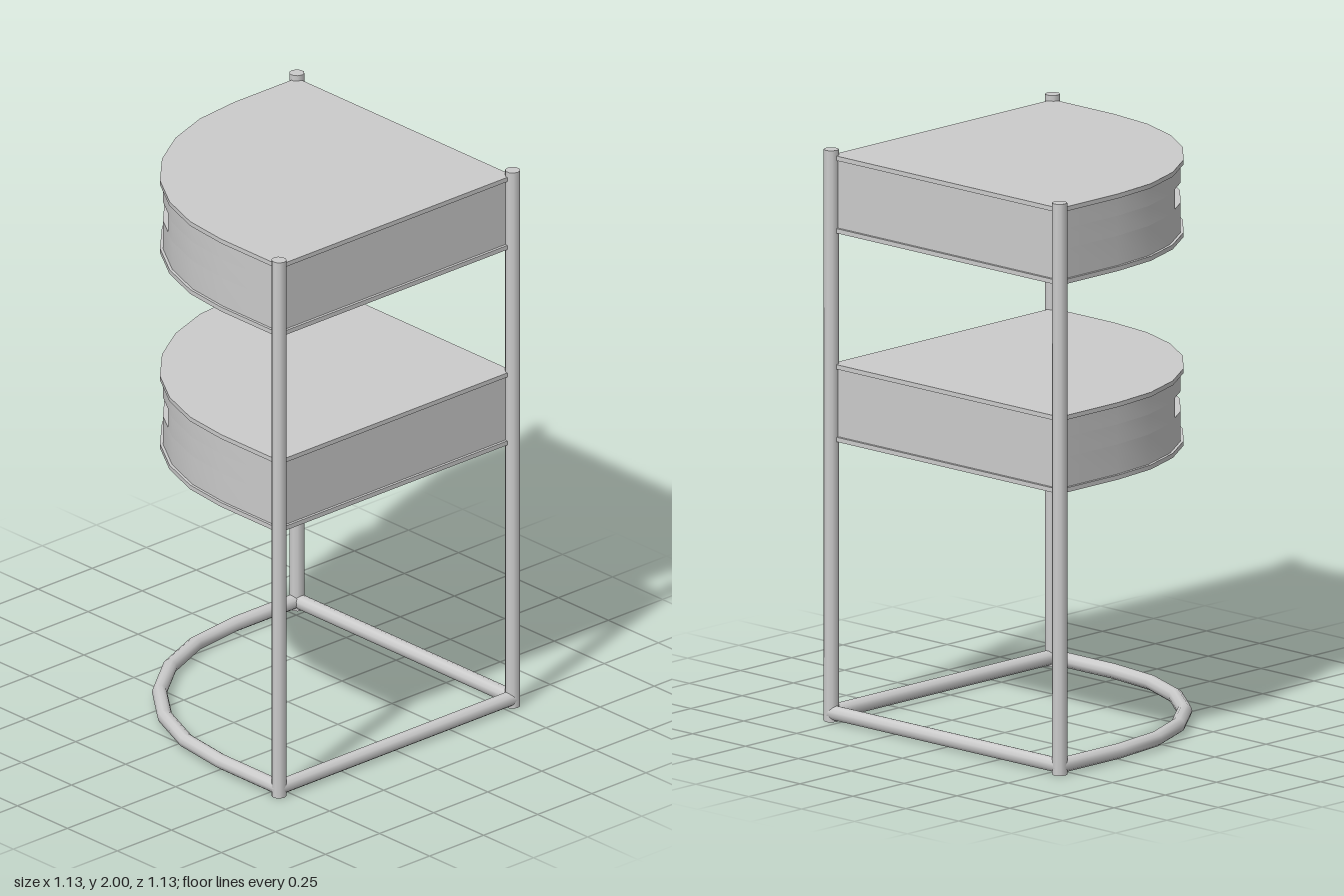
import * as THREE from 'three';
import { toCreasedNormals } from 'three/addons/utils/BufferGeometryUtils.js';

const E = 0.54;        // post and plate half-width
const C = 0.25;        // centre of the rounded corner (x and z)
const R = 0.79;        // radius of the rounded corner
const PIPE = 0.026;
const mat = new THREE.MeshStandardMaterial({ color: 0xcccccc });

function mesh(geo, name, parent) {
  const m = new THREE.Mesh(geo, mat);
  m.name = name;
  parent.add(m);
  return m;
}

// Points (x, z) along the rounded corner, from the back edge to the side edge
function arc(r, n) {
  return Array.from({ length: n + 1 }, (_, i) => {
    const a = -Math.PI / 2 - (i / n) * Math.PI / 2;
    return new THREE.Vector2(C + r * Math.cos(a), C + r * Math.sin(a));
  });
}

// Plan outline of a drawer, optionally with the grip notch in its curved front
function footprint(inset, notch) {
  const e = E - inset, r = R - inset, pts = arc(r, 7);
  if (notch) {
    const half = Math.PI / 28, w = 0.18, q = Math.SQRT1_2;
    const mid = r * Math.cos(half);
    const lip = mid - (w - r * Math.sin(half)) * Math.tan(2 * half);
    const at = (u, n) => new THREE.Vector2(C - q * (n + u), C - q * (n - u));
    const deep = mid - 0.045;
    pts.splice(3, 2, at(-w, lip), at(-w, deep), at(w, deep), at(w, lip));
  }
  return new THREE.Shape([
    new THREE.Vector2(e, e), new THREE.Vector2(e, -e), ...pts, new THREE.Vector2(-e, e),
  ]);
}

// Horizontal layer of a footprint between two heights
function layer(y0, y1, inset, name, parent, notch = false) {
  const geo = new THREE.ExtrudeGeometry(footprint(inset, notch), { depth: y1 - y0, bevelEnabled: false });
  geo.rotateX(Math.PI / 2);
  geo.translate(0, y1, 0);
  mesh(toCreasedNormals(geo, 0.4), name, parent);
}

// Bent rail path: straight ends with six chords round the corner
class RailCurve extends THREE.Curve {
  constructor() {
    super();
    this.points = [new THREE.Vector2(E, -E), ...arc(R, 6), new THREE.Vector2(-E, E)];
  }
  getPointAt(t) {
    const p = this.points[Math.round(t * 8)];
    return new THREE.Vector3(p.x, 0.03, p.y);
  }
  getPoint(t) { return this.getPointAt(t); }
  getTangentAt(t) {
    const a = THREE.MathUtils.clamp((Math.round(t * 8) - 1) / 6, 0, 1) * Math.PI / 2;
    return new THREE.Vector3(-Math.cos(a), 0, Math.sin(a));
  }
}

export function createModel() {
  const model = new THREE.Group();
  model.name = 'cornerShelf';

  // Three upright posts
  const frame = new THREE.Group();
  frame.name = 'frame';
  model.add(frame);
  for (const [x, z] of [[E, E], [-E, E], [E, -E]]) {
    mesh(new THREE.CylinderGeometry(PIPE, PIPE, 2, 10), 'post', frame).position.set(x, 1, z);
  }

  // Floor rails: two straight, one bent
  const straight = new THREE.CylinderGeometry(PIPE, PIPE, 2 * E, 10);
  const front = mesh(straight, 'frontRail', frame);
  front.rotation.z = Math.PI / 2;
  front.position.set(0, 0.03, E);
  const side = mesh(straight, 'sideRail', frame);
  side.rotation.x = Math.PI / 2;
  side.position.set(E, 0.03, 0);
  mesh(new THREE.TubeGeometry(new RailCurve(), 8, PIPE, 10), 'curvedRail', frame);

  // Two drawers: plates above and below a slightly recessed body with a grip notch
  for (const [y, name] of [[1.71, 'upperDrawer'], [0.98, 'lowerDrawer']]) {
    const drawer = new THREE.Group();
    drawer.name = name;
    drawer.position.y = y;
    model.add(drawer);
    layer(0, 0.016, 0, 'bottomPlate', drawer);
    layer(0.016, 0.12, 0.01, 'bodyLower', drawer);
    layer(0.12, 0.19, 0.01, 'bodyGrip', drawer, true);
    layer(0.19, 0.254, 0.01, 'bodyUpper', drawer);
    layer(0.254, 0.27, 0, 'topPlate', drawer);
  }
  return model;
}
